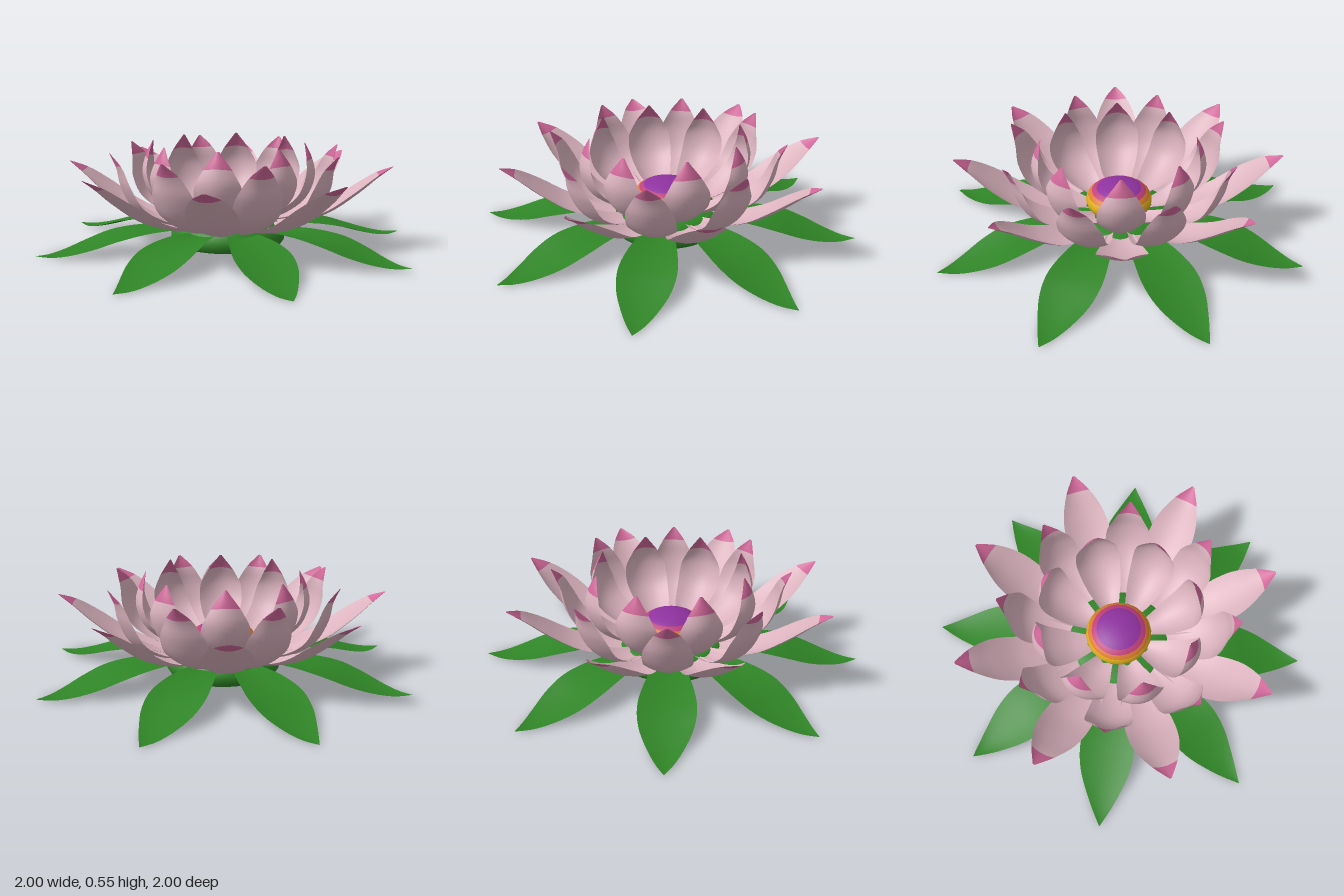
import * as THREE from 'three';

const mat = (name, color, side = THREE.FrontSide) => {
  const m = new THREE.MeshStandardMaterial({ color, side });
  m.name = name;
  return m;
};

// Cupped blade swept along a profile of [radius, height, halfWidth] points.
// Rows past tipRow use the second material group.
function bladeGeometry(points, cup, rows = 24, tipRow = rows) {
  const cols = 10;
  const curve = new THREE.CatmullRomCurve3(points.map(p => new THREE.Vector3(...p)));
  const pos = [], index = [];
  for (let i = 0; i <= rows; i++) {
    const p = curve.getPointAt(i / rows);
    const t = curve.getTangentAt(i / rows);
    const len = Math.hypot(t.x, t.y);
    const w = Math.max(p.z, 0.002);
    for (let j = 0; j <= cols; j++) {
      const u = (j / cols) * 2 - 1;
      const lift = cup * w * u * u; // edges rise towards the flower's heart
      pos.push(u * w, p.y + (lift * t.x) / len, p.x - (lift * t.y) / len);
    }
  }
  for (let i = 0; i < rows; i++) {
    for (let j = 0; j < cols; j++) {
      const a = i * (cols + 1) + j, b = a + cols + 1;
      index.push(a, b, a + 1, a + 1, b, b + 1);
    }
  }
  const g = new THREE.BufferGeometry();
  g.setAttribute('position', new THREE.Float32BufferAttribute(pos, 3));
  g.setIndex(index);
  g.computeVertexNormals();
  g.addGroup(0, tipRow * cols * 6, 0);
  g.addGroup(tipRow * cols * 6, (rows - tipRow) * cols * 6, 1);
  return g;
}

// Eight copies of a blade around the y axis
function ring(name, geometry, materials, offset) {
  const group = new THREE.Group();
  group.name = name + 's';
  for (let k = 0; k < 8; k++) {
    const m = new THREE.Mesh(geometry, materials);
    m.name = name;
    m.rotation.y = offset + (k * Math.PI) / 4;
    group.add(m);
  }
  return group;
}

export function createModel() {
  const model = new THREE.Group();
  model.name = 'waterLily';

  const green = mat('leafGreen', 0x2f8526, THREE.DoubleSide);
  const pink = mat('petalPink', 0xdab2be, THREE.DoubleSide);
  const tip = mat('tipPink', 0xcf6798, THREE.DoubleSide);
  const purple = mat('heartPurple', 0x8f32a0);
  const magenta = mat('heartMagenta', 0xc03f7c);
  const orange = mat('heartOrange', 0xdb7c30);
  const yellow = mat('heartYellow', 0xe2b01c);
  const grey = mat('stemGrey', 0x808080);

  // Floating leaves
  model.add(ring('leaf', bladeGeometry([
    [0.2, 0.1, 0.07], [0.3, 0.11, 0.085], [0.45, 0.105, 0.12], [0.6, 0.08, 0.142],
    [0.72, 0.045, 0.128], [0.84, 0.015, 0.083], [0.93, 0.005, 0.04], [1, 0.012, 0.002],
  ], 0.1), [green, green], 0));

  // Three rings of petals, outermost first
  const half = Math.PI / 8;
  const petals = [pink, tip];
  model.add(ring('outerPetal', bladeGeometry([
    [0.15, 0.11, 0.04], [0.34, 0.13, 0.09], [0.53, 0.195, 0.123],
    [0.68, 0.3, 0.115], [0.78, 0.385, 0.068], [0.855, 0.44, 0.006],
  ], 0.25, 24, 21), petals, half));
  model.add(ring('middlePetal', bladeGeometry([
    [0.15, 0.12, 0.035], [0.35, 0.14, 0.09], [0.5, 0.225, 0.12],
    [0.565, 0.345, 0.115], [0.585, 0.44, 0.07], [0.62, 0.52, 0.006],
  ], 0.3, 24, 21), petals, 0));
  model.add(ring('innerPetal', bladeGeometry([
    [0.14, 0.14, 0.04], [0.28, 0.175, 0.09], [0.41, 0.27, 0.118],
    [0.455, 0.39, 0.112], [0.438, 0.48, 0.07], [0.4, 0.558, 0.006],
  ], 0.4, 24, 20), petals, half));

  // Rounded base with a rolled lip underneath
  const profile = [
    [0.2, 0.05], [0.215, 0.045], [0.235, 0.028], [0.26, 0.02], [0.285, 0.027], [0.3, 0.05],
    [0.3, 0.08], [0.285, 0.11], [0.25, 0.14], [0.15, 0.15], [0, 0.15],
  ].map(p => new THREE.Vector2(...p));
  const base = new THREE.Mesh(new THREE.LatheGeometry(profile, 48), green);
  base.name = 'base';
  model.add(base);

  const stem = new THREE.Mesh(new THREE.CircleGeometry(0.215, 48), grey);
  stem.name = 'stemDisc';
  stem.rotation.x = Math.PI / 2;
  stem.position.y = 0.047;
  model.add(stem);

  // Flattened heart in coloured bands from the crown down
  const heart = new THREE.Group();
  heart.name = 'heart';
  const edges = [0, 0.74, 0.96, 1.2, Math.PI];
  [purple, magenta, orange, yellow].forEach((m, i) => {
    const g = new THREE.SphereGeometry(0.177, 20, 6, 0, Math.PI * 2, edges[i], edges[i + 1] - edges[i]);
    const band = new THREE.Mesh(g, m);
    band.name = 'heartBand';
    heart.add(band);
  });
  heart.scale.y = 0.53;
  heart.position.y = 0.19;
  model.add(heart);

  return model;
}
